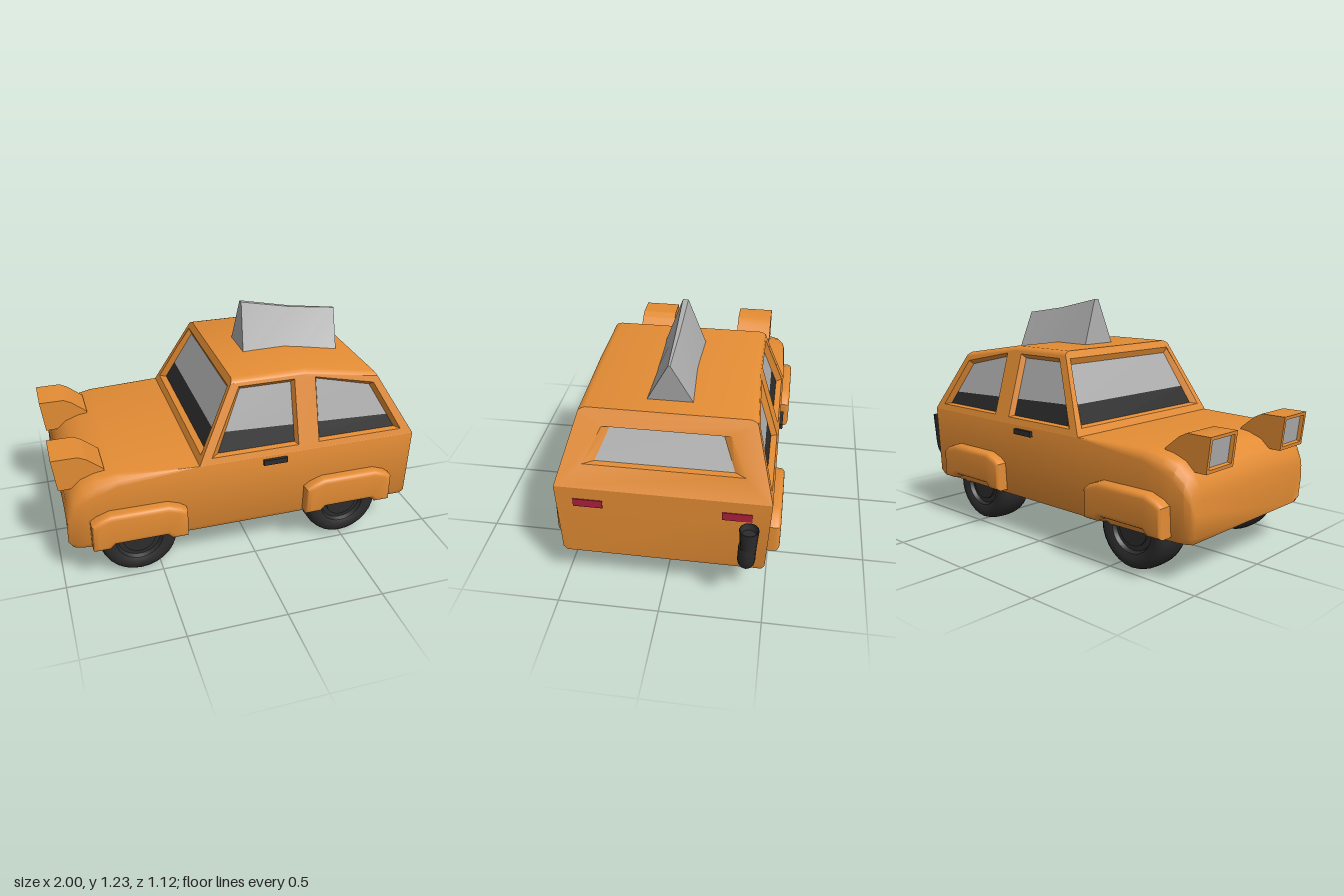
import * as THREE from 'three';
import { toCreasedNormals } from 'three/addons/utils/BufferGeometryUtils.js';

const mat = (name, color, side = THREE.FrontSide) => {
  const m = new THREE.MeshStandardMaterial({ color, side });
  m.name = name;
  return m;
};

// Cabin planes: outer surface of the sides, windscreen and rear as a function of height
const sideZ = y => 0.515 - 0.295 * (y - 0.6);
const frontX = y => -0.30 + 0.513 * (y - 0.6);
const rearX = y => 0.855 - 0.59 * (y - 0.6);

const shapeOf = (pts, holes = []) => {
  const s = new THREE.Shape(pts.map(p => new THREE.Vector2(...p)));
  holes.forEach(h => s.holes.push(new THREE.Path(h.map(p => new THREE.Vector2(...p)))));
  return s;
};

// Moves every vertex by a rule (x, y, z) => [x, y, z]
function remap(geo, rule) {
  const p = geo.attributes.position;
  for (let i = 0; i < p.count; i++) p.setXYZ(i, ...rule(p.getX(i), p.getY(i), p.getZ(i)));
  return toCreasedNormals(geo, 0.6);
}

const slab = (shape, depth) => new THREE.ExtrudeGeometry(shape, { depth, bevelEnabled: false });

// Panel with openings that taper from the outer corners to the inner corners
function frame(outline, outer, inner, depth, rule) {
  const from = outer.flat(), to = inner.flat();
  return remap(slab(shapeOf(outline, outer), depth), (u, y, w) => {
    const k = w < depth / 2 ? from.findIndex(p => Math.hypot(p[0] - u, p[1] - y) < 1e-4) : -1;
    return k < 0 ? rule(u, y, w) : rule(...to[k], w);
  });
}

// Mirrors a geometry across z = 0 and keeps its faces outward
function mirrorZ(geo) {
  const g = geo.index ? geo.toNonIndexed() : geo;
  const p = g.attributes.position;
  const out = [];
  for (let i = 0; i < p.count; i += 3)
    for (const k of [i, i + 2, i + 1]) out.push(p.getX(k), p.getY(k), -p.getZ(k));
  const m = new THREE.BufferGeometry();
  m.setAttribute('position', new THREE.Float32BufferAttribute(out, 3));
  return toCreasedNormals(m, 0.7);
}

// Completes a half ring with its mirror image across z = 0
const mirrorRing = half => [...half, ...half.map(([a, b, c]) => [a, b, -c]).reverse()];

// Joins closed rings of [x, y, z] ordered along +x and caps both ends
function loft(rings) {
  const n = rings[0].length, idx = [];
  for (let i = 0; i < rings.length - 1; i++)
    for (let j = 0; j < n; j++) {
      const a = i * n + j, b = i * n + (j + 1) % n, c = b + n, d = a + n;
      idx.push(a, d, c, a, c, b);
    }
  const e = (rings.length - 1) * n;
  for (let j = 1; j < n - 1; j++) idx.push(0, j, j + 1, e, e + j + 1, e + j);
  const g = new THREE.BufferGeometry();
  g.setAttribute('position', new THREE.Float32BufferAttribute(rings.flat(2), 3));
  g.setIndex(idx);
  return toCreasedNormals(g, 0.6);
}

export function createModel() {
  const orange = mat('orange paint', 0xe38c34);
  const grey = mat('grey glass', 0xadadad);
  const black = mat('black rubber', 0x2c2c2c, THREE.DoubleSide);
  const red = mat('red lamp', 0xab203c);
  const car = new THREE.Group();
  car.name = 'car';
  const add = (name, geo, material) => {
    const m = new THREE.Mesh(geo, material);
    m.name = name;
    car.add(m);
  };
  const addPair = (name, geo, material) => {
    add(name + 'Left', geo, material);
    add(name + 'Right', mirrorZ(geo), material);
  };

  // Lower body: x, top height, half width, shoulder radius, height of the hollow underside
  const stations = [
    [-0.96, 0.40, 0.46, 0.06, 0.2], [-0.95, 0.46, 0.475, 0.07, 0.2], [-0.92, 0.52, 0.49, 0.08, 0.31],
    [-0.87, 0.565, 0.50, 0.08, 0.31], [-0.80, 0.59, 0.505, 0.07, 0.31], [-0.70, 0.604, 0.508, 0.05, 0.31],
    [-0.30, 0.6, 0.515, 0.001, 0.31], [0.82, 0.6, 0.515, 0.001, 0.31], [0.855, 0.6, 0.515, 0.001, 0.2]];
  add('body', loft(stations.map(([x, top, w, r, floor]) => {
    const xb = THREE.MathUtils.clamp(x, -0.94, 0.845);
    return mirrorRing([[xb, floor, w - 0.06], [xb, 0.2, w - 0.05], [xb, 0.2, w - 0.035], [x, 0.23, w - 0.02],
      [x, top - r, w], [x, top - r * 0.5, w - r * 0.13], [x, top - r * 0.13, w - r * 0.5], [x, top, w - r]]);
  })), orange);
  add('floorPan', new THREE.BoxGeometry(1.62, 0.04, 0.6).translate(-0.08, 0.3, 0), black);

  // Cabin sides with window openings
  const d = 0.03;
  addPair('cabinSide', frame(
    [[-0.30, 0.6], [0.855, 0.6], [0.673, 0.908], [0.28, 0.97], [-0.11, 0.97]],
    [[[-0.235, 0.63], [0.22, 0.63], [0.22, 0.953], [-0.07, 0.953]],
      [[0.33, 0.63], [0.787, 0.63], [0.645, 0.885], [0.33, 0.95]]],
    [[[-0.195, 0.635], [0.207, 0.635], [0.207, 0.93], [-0.058, 0.93]],
      [[0.343, 0.635], [0.76, 0.635], [0.632, 0.865], [0.343, 0.93]]],
    d, (x, y, w) => [x, y, w - d + sideZ(y)]), orange);

  // Windscreen and rear frames
  const trapezoid = (y0, w0, y1, w1) => [[-w0, y0], [w0, y0], [w1, y1], [-w1, y1]];
  add('windscreenFrame', frame(trapezoid(0.6, 0.515, 0.97, 0.406),
    [trapezoid(0.635, 0.468, 0.953, 0.385)], [trapezoid(0.642, 0.435, 0.92, 0.37)],
    d, (u, y, w) => [frontX(y) + d - w, y, u]), orange);
  add('rearFrame', frame(trapezoid(0.6, 0.515, 0.908, 0.424),
    [trapezoid(0.70, 0.385, 0.857, 0.305)], [trapezoid(0.703, 0.33, 0.845, 0.268)],
    d, (u, y, w) => [rearX(y) - d + w, y, -u]), orange);

  // Roof with rounded shoulders, flush with the cabin planes
  const roofStations = [[frontX, 0.99], [() => 0.28, 0.99], [rearX, 0.93]];
  add('roof', loft(roofStations.map(([xAt, top]) => mirrorRing(
    [[0.03, 0], [0.017, 0], [0.007, 0.009], [0, 0.027]].map(([drop, cut]) => {
      const y = top - drop;
      return [xAt(y), y, sideZ(y) - cut];
    })))), orange);

  // Dark interior below the glass, both following the slope of the cabin sides
  const prism = (pts, inset) => remap(slab(shapeOf(pts), 1),
    (x, y, z) => [x, y, (z > 0.5 ? 1 : -1) * (sideZ(y) - inset)]);
  const g = 0.029, f = y => [frontX(y) + g, y], r = y => [rearX(y) - g, y];
  add('cabinInterior', prism([f(0.6), r(0.6), r(0.7), f(0.735)], g), black);
  add('windows', prism([f(0.735), r(0.7), r(0.895), [0.28, 0.96], f(0.96)], g), grey);

  // Wheels with recessed hubs
  const rim = [[0, 0.07], [0.11, 0.07], [0.12, 0.09], [0.145, 0.1], [0.172, 0.097], [0.191, 0.082], [0.201, 0.05], [0.204, 0]];
  const profile = [...rim.map(([a, b]) => [a, -b]), ...rim.slice(0, -1).reverse()];
  const tyre = new THREE.LatheGeometry(profile.map(p => new THREE.Vector2(...p)), 28).rotateX(Math.PI / 2);
  const hub = new THREE.CylinderGeometry(0.085, 0.085, 0.16, 20).rotateX(Math.PI / 2);

  // Rounded fenders over each wheel
  const fenderShape = shapeOf([[-0.215, -0.07], [-0.165, -0.07], [-0.14, -0.045], [0.14, -0.045], [0.165, -0.07],
    [0.215, -0.07], [0.215, 0.04], [0.195, 0.055], [0.14, 0.075], [-0.14, 0.075], [-0.195, 0.055], [-0.215, 0.04]]);
  for (const [end, x] of [['front', -0.61], ['rear', 0.5]]) {
    addPair(end + 'Tyre', toCreasedNormals(tyre.clone().translate(x, 0.204, 0.385), 0.7), black);
    addPair(end + 'Hub', toCreasedNormals(hub.clone().translate(x, 0.204, 0.385), 0.6), black);
    const fender = new THREE.ExtrudeGeometry(fenderShape,
      { depth: 0.05, bevelSize: 0.025, bevelThickness: 0.025, bevelSegments: 4 });
    addPair(end + 'Fender', toCreasedNormals(fender.translate(x, 0.32, 0.485), 0.7), orange);
  }

  // Raised headlamps: housing, open frame and lens
  const lampX = y => -1 + 0.12 * (0.69 - y);
  const housing = slab(shapeOf([[-0.972, 0.69], [-0.87, 0.69], [-0.83, 0.67], [-0.75, 0.605], [-0.75, 0.53], [-0.952, 0.52]]), 0.205);
  addPair('headlampHousing', housing.translate(0, 0, 0.203), orange);
  const rect = (z0, z1, y0, y1) => [[z0, y0], [z1, y0], [z1, y1], [z0, y1]];
  addPair('headlampFrame', frame(rect(0.203, 0.408, 0.52, 0.69),
    [rect(0.22, 0.391, 0.537, 0.674)], [rect(0.228, 0.383, 0.545, 0.667)],
    0.028, (u, y, w) => [lampX(y) + 0.028 - w, y, u]), orange);
  addPair('headlampLens', remap(slab(shapeOf(rect(0.215, 0.395, 0.53, 0.68)), 0.008),
    (u, y, w) => [lampX(y) + 0.026 - w, y, u]), grey);

  // Tail lamps
  addPair('tailLamp', new THREE.BoxGeometry(0.008, 0.042, 0.142).translate(0.854, 0.515, 0.355), red);

  // Door handles
  addPair('doorHandle', new THREE.BoxGeometry(0.125, 0.028, 0.03).translate(0.092, 0.566, 0.515), black);

  // Upturned exhaust with a flared mouth
  const path = new THREE.CatmullRomCurve3([[0.83, 0.308, -0.407], [0.89, 0.306, -0.407], [0.935, 0.335, -0.409],
    [0.949, 0.39, -0.411], [0.951, 0.44, -0.413]].map(p => new THREE.Vector3(...p)));
  add('exhaustPipe', new THREE.TubeGeometry(path, 14, 0.042, 12), black);
  const mouth = [[0.038, 0], [0.046, 0.1], [0.043, 0.1], [0.034, 0.07], [0, 0.07]];
  add('exhaustMouth', toCreasedNormals(new THREE.LatheGeometry(mouth.map(p => new THREE.Vector2(...p)), 12), 0.6)
    .translate(0.953, 0.433, -0.417), black);

  // Bent roof sign: base x, ridge x, base height, ridge height, base half width, ridge half width
  const sign = [[0.048, 0.066, 0.95, 1.23, 0.118, 0.014], [0.33, 0.335, 0.945, 1.175, 0.113, 0.01],
    [0.572, 0.592, 0.94, 1.14, 0.112, 0.005]];
  add('roofSign', loft(sign.map(([x0, x1, y0, y1, w0, w1]) =>
    [[x0, y0, w0], [x1, y1, w1], [x1, y1, -w1], [x0, y0, -w0]])), grey);

  return car;
}
